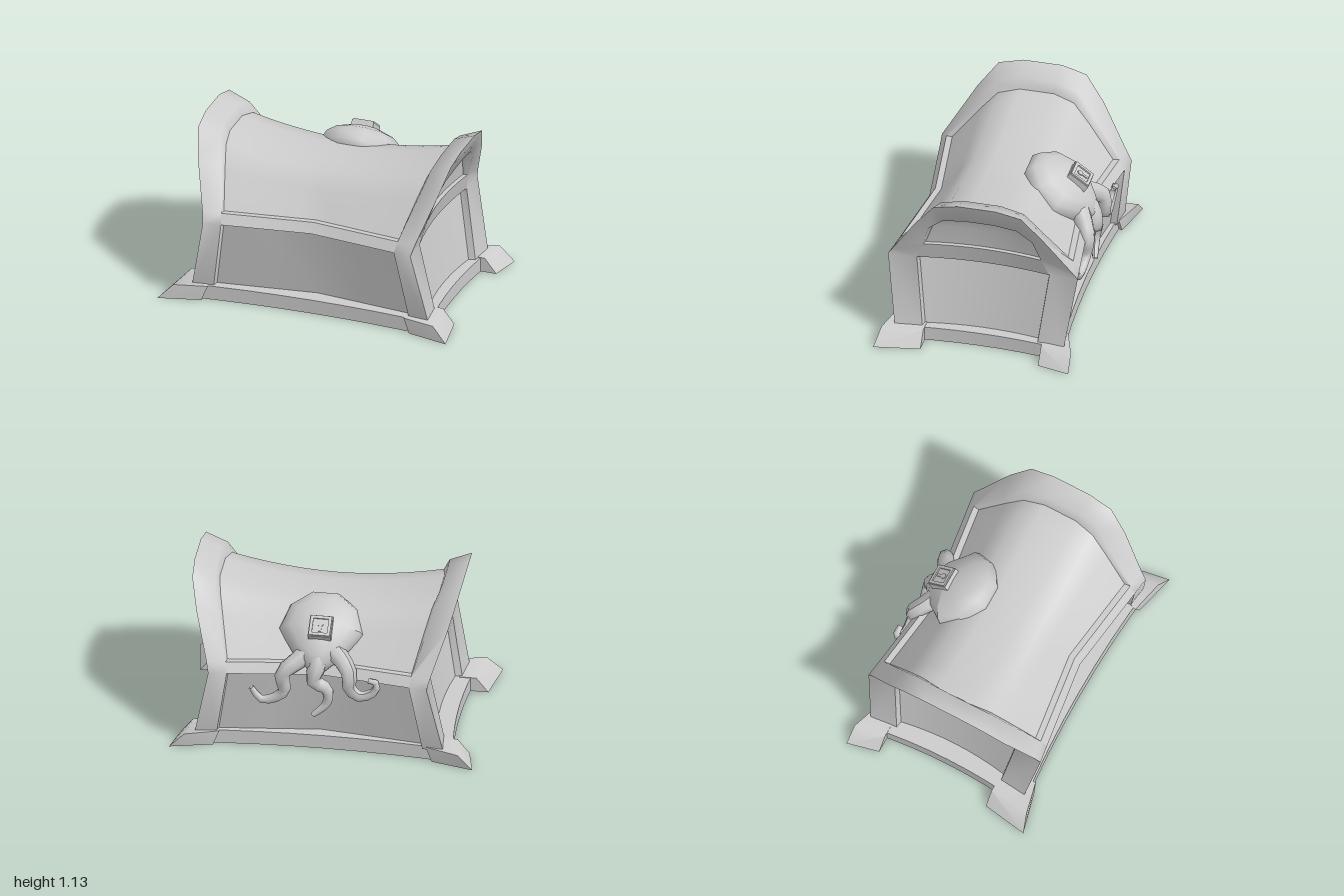
import * as THREE from 'three';
import { toCreasedNormals } from 'three/addons/utils/BufferGeometryUtils.js';
import { ConvexGeometry } from 'three/addons/geometries/ConvexGeometry.js';

const material = new THREE.MeshStandardMaterial({ color: 0xcccccc, side: THREE.DoubleSide });

function add(parent, name, geometry, crease = 0) {
  const mesh = new THREE.Mesh(crease ? toCreasedNormals(geometry, crease) : geometry, material);
  mesh.name = name;
  parent.add(mesh);
  return mesh;
}

// Surface through rows of [x, y, z] points
function grid(rows) {
  const n = rows[0].length, index = [];
  for (let r = 0; r < rows.length - 1; r++)
    for (let c = 0; c < n - 1; c++) {
      const a = r * n + c, b = a + n;
      index.push(a, a + 1, b, b, a + 1, b + 1);
    }
  const g = new THREE.BufferGeometry();
  g.setAttribute('position', new THREE.Float32BufferAttribute(rows.flat(2), 3));
  g.setIndex(index);
  g.computeVertexNormals();
  return g;
}

// Corner frame, from the foot to the top of the arch:
// outer edge, edges beside the long wall and the end wall, and their recessed edges
const outer = [[.82, .08, .567], [.72, .575, .637], [.737, .64, .597], [.83, .92, .425], [.877, 1.09, .295], [.887, 1.13, .13]];
const side = [[.678, .08, .548], [.6, .575, .62], [.612, .64, .58], [.685, .88, .395], [.73, 1.035, .28], [.747, 1.085, .125]];
const sideIn = [[.67, .08, .505], [.595, .575, .575], [.608, .64, .54], [.663, .85, .37], [.698, .975, .255], [.722, 1.01, .115]];
const end = [[.8, .08, .385], [.715, .575, .445], [.74, .7, .395], [.79, .86, .35], [.82, .955, .25], [.835, .985, .1]];
const endIn = [[.755, .08, .377], [.67, .575, .437], [.71, .7, .387], [.727, .845, .335], [.74, .93, .237], [.745, .962, .1]];

// Profile carried over the arch and down the other side
const arch = (half) => [...half, ...half.slice().reverse().map(([x, y, z]) => [x, y, -z])];
const steps = (n) => Array.from({ length: n + 1 }, (_, i) => (2 * i) / n - 1);

function buildBody(body) {
  // Flared arched frames at both ends
  for (const s of [1, -1]) {
    const rim = new THREE.Group();
    rim.name = s > 0 ? 'leftRim' : 'rightRim';
    body.add(rim);
    for (const [name, edges] of [['rimSide', [sideIn, side, outer]], ['rimEnd', [outer, end, endIn]]]) {
      const lines = edges.map(arch);
      const rows = lines[0].map((_, k) => lines.map(line => [s * line[k][0], line[k][1], line[k][2]]));
      add(rim, name, grid(rows), 1.15);
    }

    // End wall: lower panel, middle band and the arched upper panel
    const endRow = ([x, y, z]) => steps(8).map(u => [s * (x - .09 * z * (1 - u * u)), y, u * z]);
    add(body, 'endWall', grid([endIn[0], endIn[1], end[1], end[2], endIn[2]].map(endRow)), .5);
    add(body, 'endArchPanel', grid(endIn.slice(2).map(endRow)), .5);
  }

  // Front and back walls, pinched in toward the middle, with the lid band
  for (const s of [1, -1]) {
    const wallRow = ([x, y, z]) => steps(4).map(u => [u * x, y, s * (z - .08 * (1 - Math.abs(u)))]);
    add(body, s > 0 ? 'frontWall' : 'backWall',
      grid([sideIn[0], sideIn[1], side[1], side[2], sideIn[2]].map(wallRow)), .5);
  }

  // Saddle-shaped lid
  const lidRow = ([x, y, z]) => steps(12).map(u => {
    const k = (y - .64) / .37;
    return [u * x, y - .09 * k * (1 - u * u), z - Math.sign(z) * .08 * (1 - k) * (1 - Math.abs(u))];
  });
  add(body, 'lid', grid(arch(sideIn.slice(2)).map(lidRow)));
}

// Concave rectangle used for the skirt outline
function concave(Type, x, z, dx, dz) {
  const p = new Type();
  p.moveTo(-x, -z);
  p.quadraticCurveTo(0, -z + 2 * dz, x, -z);
  p.quadraticCurveTo(x - 2 * dx, 0, x, z);
  p.quadraticCurveTo(0, z - 2 * dz, -x, z);
  p.quadraticCurveTo(-x + 2 * dx, 0, -x, -z);
  return p;
}

function buildBase(base) {
  const ring = concave(THREE.Shape, .86, .575, .045, .05);
  ring.holes.push(concave(THREE.Path, .71, .445, .03, .04));
  const g = new THREE.ExtrudeGeometry(ring, { depth: .096, bevelEnabled: false, curveSegments: 8 });
  add(base, 'skirt', g.rotateX(-Math.PI / 2), .5);

  // Splayed corner feet
  for (const sx of [1, -1]) for (const sz of [1, -1]) {
    const zi = sz > 0 ? .35 : .44;
    const points = [
      [1, 0, .655], [.95, 0, zi], [.78, 0, zi], [.72, 0, .585],
      [.9, .1, sz > 0 ? .625 : .65], [.87, .1, zi], [.76, .1, zi], [.68, .1, .575],
    ].map(([x, y, z]) => new THREE.Vector3(sx * x, y, sz * z));
    add(base, 'foot', new ConvexGeometry(points), .9);
  }
}

// Tube along points, thinning toward its tip
function tentacle(points, r0, r1) {
  const curve = new THREE.CatmullRomCurve3(points.map(p => new THREE.Vector3(...p)));
  const n = 14, sides = 7;
  const g = new THREE.TubeGeometry(curve, n, 1, sides);
  const pos = g.attributes.position, v = new THREE.Vector3();
  for (let i = 0; i < pos.count; i++) {
    const t = Math.floor(i / (sides + 1)) / n, c = curve.getPointAt(t);
    v.fromBufferAttribute(pos, i).sub(c).multiplyScalar(r0 + (r1 - r0) * t).add(c);
    pos.setXYZ(i, v.x, v.y, v.z);
  }
  g.computeVertexNormals();
  return g;
}

function buildOctopus(octopus) {
  // Flattened head lying on the back slope of the lid, narrowing downward
  const g = new THREE.SphereGeometry(1, 10, 8);
  const pos = g.attributes.position;
  for (let i = 0; i < pos.count; i++) {
    const z = pos.getZ(i), taper = z < 0 ? 1 + .5 * z : 1;
    pos.setXYZ(i, pos.getX(i) * .28 * taper, pos.getY(i) * .15, z * .29);
  }
  g.computeVertexNormals();
  const head = add(octopus, 'octopusHead', g);
  head.position.set(.04, .785, -.37);
  head.rotation.x = -.67;

  // Curling arms hugging the back wall
  const arms = [
    [[.06, .76, -.46], [.16, .67, -.54], [.26, .59, -.6], [.25, .45, -.585], [.33, .38, -.58], [.41, .37, -.575], [.47, .45, -.575]],
    [[.03, .76, -.47], [.035, .65, -.575], [.055, .55, -.6], [-.03, .49, -.59], [-.03, .38, -.58], [.06, .29, -.6]],
    [[0, .76, -.46], [-.12, .69, -.54], [-.18, .62, -.6], [-.18, .52, -.6], [-.25, .46, -.6], [-.35, .51, -.61], [-.36, .59, -.63], [-.31, .6, -.63]],
  ];
  for (const arm of arms) add(octopus, 'tentacle', tentacle(arm, .075, .018));

  // Lock plate with raised border and keyhole
  const lock = new THREE.Group();
  lock.name = 'lock';
  lock.position.set(.025, .885, -.485);
  lock.rotation.x = -.62;
  octopus.add(lock);
  add(lock, 'lockPlate', new THREE.BoxGeometry(.15, .06, .15));
  const border = new THREE.Shape([[-.07, -.07], [.07, -.07], [.07, .07], [-.07, .07]].map(p => new THREE.Vector2(...p)));
  border.holes.push(new THREE.Path([[-.05, -.05], [-.05, .05], [.05, .05], [.05, -.05]].map(p => new THREE.Vector2(...p))));
  const frame = new THREE.ExtrudeGeometry(border, { depth: .012, bevelEnabled: false });
  add(lock, 'lockBorder', frame.rotateX(-Math.PI / 2)).position.y = .028;
  add(lock, 'keyholeTop', new THREE.CylinderGeometry(.02, .02, .01, 8)).position.set(0, .032, .015);
  add(lock, 'keyholeSlot', new THREE.BoxGeometry(.018, .01, .05)).position.set(0, .032, -.015);
}

export function createModel() {
  const model = new THREE.Group();
  model.name = 'chest';
  const parts = { body: buildBody, base: buildBase, octopusLock: buildOctopus };
  for (const [name, build] of Object.entries(parts)) {
    const group = new THREE.Group();
    group.name = name;
    build(group);
    model.add(group);
  }
  model.children[0].position.set(.022, 0, -.018);
  return model;
}
